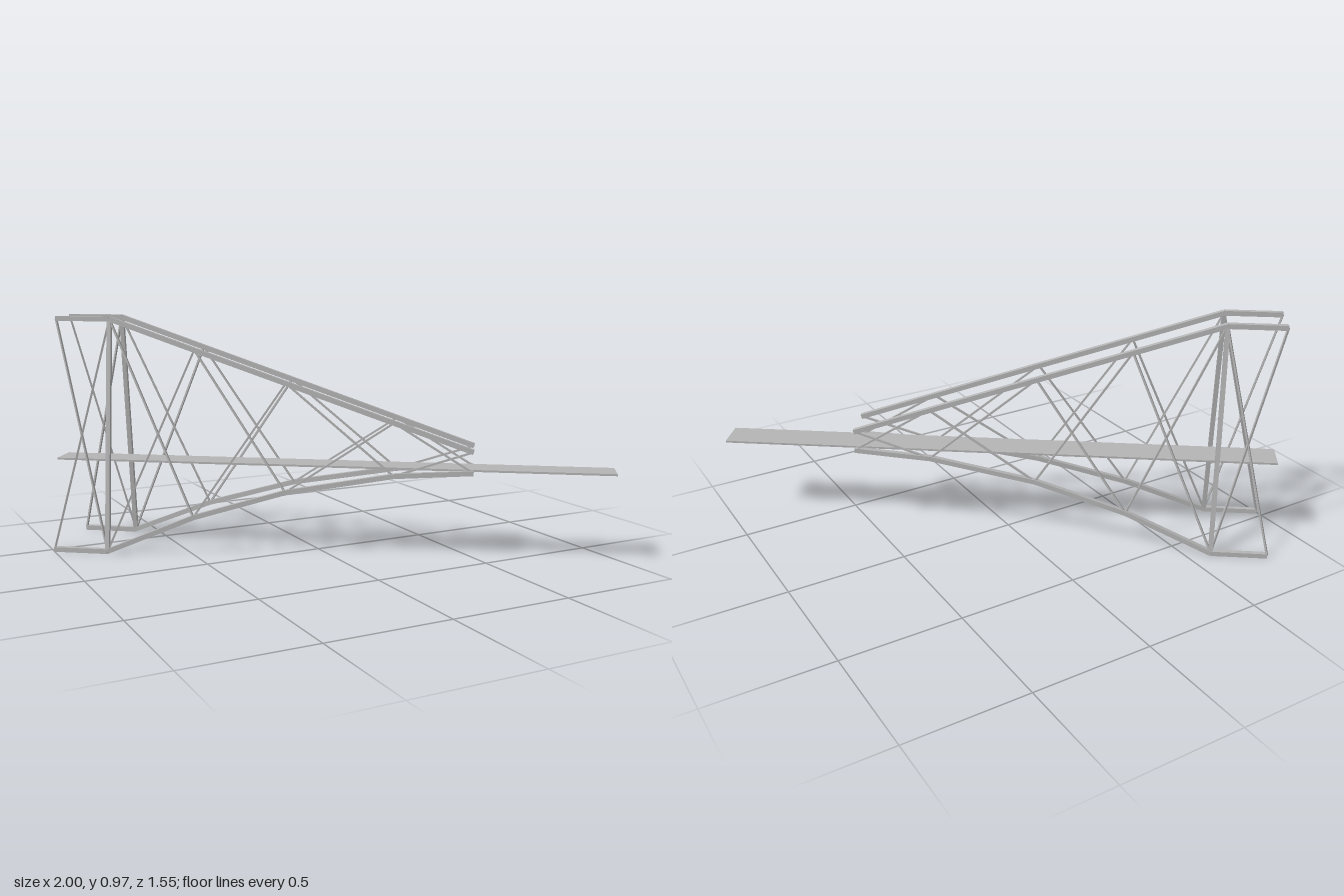
import * as THREE from 'three';

// Node stations along the span: distance, bottom height, bottom half width, top height
const TOP_HALF = 0.077;
const STATIONS = [
  [-1.083, 0.011, 0.185, 0.965],
  [-0.853, 0.011, 0.185, 0.965],
  [-0.497, 0.157, 0.141, 0.842],
  [-0.118, 0.268, 0.108, 0.712],
  [0.322, 0.345, 0.086, 0.56],
  [0.64, 0.365, 0.077, 0.45],
];

export function createModel() {
  const steel = new THREE.MeshStandardMaterial({ color: 0xb4b4b4 });
  steel.name = 'steel grey';

  const model = new THREE.Group();
  model.name = 'cantileverBridge';

  // Square bar between two points, kept upright
  function bar(name, a, b, size, parent) {
    const dir = b.clone().sub(a);
    const mesh = new THREE.Mesh(new THREE.BoxGeometry(size, size, dir.length()), steel);
    mesh.name = name;
    mesh.position.copy(a).add(b).multiplyScalar(0.5);
    mesh.lookAt(b);
    parent.add(mesh);
  }

  // One leaning truss on each side of the deck
  for (const side of [-1, 1]) {
    const truss = new THREE.Group();
    truss.name = side > 0 ? 'nearTruss' : 'farTruss';
    const bottom = STATIONS.map(([u, y, w]) => new THREE.Vector3(u, y, side * w));
    const top = STATIONS.map(([u, , , y]) => new THREE.Vector3(u, y, side * TOP_HALF));

    for (let i = 0; i < STATIONS.length - 1; i++) {
      // Chords
      bar('bottomChord', bottom[i], bottom[i + 1], 0.02, truss);
      bar('topChord', top[i], top[i + 1], 0.02, truss);
      // Crossed bracing
      bar('risingBrace', bottom[i], top[i + 1], 0.008, truss);
      bar('fallingBrace', top[i], bottom[i + 1], 0.008, truss);
    }
    // Main tower post
    bar('towerPost', bottom[1], top[1], 0.018, truss);
    model.add(truss);
  }

  // Deck running past the tip of the trusses
  const deck = new THREE.Mesh(new THREE.BoxGeometry(2.307, 0.008, 0.13), steel);
  deck.name = 'deck';
  deck.position.set(0.047, 0.372, 0);
  model.add(deck);

  // Bridge lies diagonally across the frame
  const span = new THREE.Group();
  span.name = 'span';
  model.position.set(-0.012, 0, 0.016);
  model.rotation.y = -Math.PI / 5;
  span.add(model);
  return span;
}
